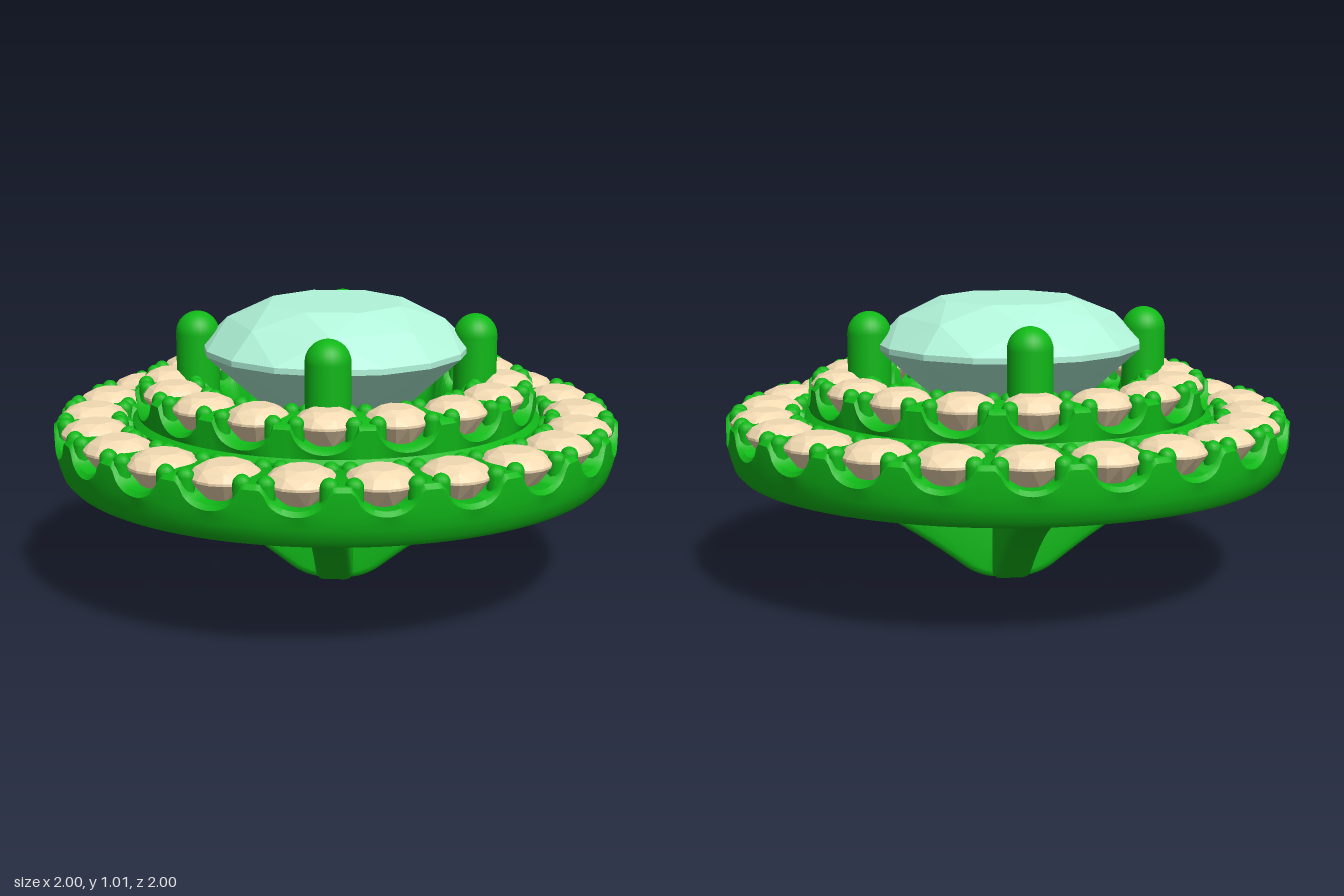
import * as THREE from 'three';
import { toCreasedNormals } from 'three/addons/utils/BufferGeometryUtils.js';
import { ConvexGeometry } from 'three/addons/geometries/ConvexGeometry.js';

const metal = new THREE.MeshStandardMaterial({ color: 0x10b818 });
const stoneMat = new THREE.MeshStandardMaterial({ color: 0xf2dab2 });
const gemMat = new THREE.MeshStandardMaterial({ color: 0xb2f5da });

function add(parent, name, geometry, material) {
  const mesh = new THREE.Mesh(geometry, material);
  mesh.name = name;
  parent.add(mesh);
  return mesh;
}

// Brilliant cut: the hull of table, crown, girdle, pavilion and culet points.
// Each level is [radius, height, sides, turn in steps].
function brilliant(levels) {
  const points = [];
  for (const [r, y, n, turn] of levels) {
    for (let i = 0; i < n; i++) {
      const a = ((i + turn) / n) * Math.PI * 2;
      points.push(new THREE.Vector3(r * Math.sin(a), y, r * Math.cos(a)));
    }
  }
  return new ConvexGeometry(points);
}

// Ring swept from a cross-section whose top edge dips at every stone.
function scallopedRing(section, count, centreR, top, depth, halfWidth) {
  const perStone = 20, n = count * perStone, pos = [], index = [];
  const m = section(top).length;
  for (let i = 0; i < n; i++) {
    const a = (i / n) * Math.PI * 2;
    let k = (i % perStone) / perStone;
    if (k > 0.5) k -= 1;
    const t = (k * Math.PI * 2 / count) * centreR / halfWidth;
    const dip = Math.abs(t) < 1 ? depth * Math.sqrt(1 - t * t) : 0;
    for (const [r, y] of section(top - dip)) pos.push(r * Math.sin(a), y, r * Math.cos(a));
    for (let j = 0; j < m; j++) {
      const i2 = (i + 1) % n, j2 = (j + 1) % m;
      index.push(i * m + j, i2 * m + j, i * m + j2, i2 * m + j, i2 * m + j2, i * m + j2);
    }
  }
  const g = new THREE.BufferGeometry();
  g.setAttribute('position', new THREE.Float32BufferAttribute(pos, 3));
  g.setIndex(index);
  return toCreasedNormals(g, 0.75);
}

// One halo: scalloped ring, its stones and the bead claws between them.
function halo(name, o) {
  const group = new THREE.Group();
  group.name = name;
  add(group, name + 'Ring', scallopedRing(o.section, o.count, o.centreR, o.top, 0.08, 0.088), metal);

  const R = o.stoneR, y = o.stoneTop;
  const stone = brilliant([
    [R * 0.5, y, 8, 0], [R * 0.82, y - 0.017, 8, 0.5], [R, y - 0.042, 16, 0],
    [R, y - 0.05, 16, 0], [R * 0.6, y - 0.115, 8, 0.5], [0, y - 0.16, 1, 0],
  ]);
  const claw = new THREE.CapsuleGeometry(o.clawR, 0.09, 5, 10);
  for (let i = 0; i < o.count; i++) {
    const a = (i / o.count) * Math.PI * 2;
    const s = add(group, 'haloStone', stone, stoneMat);
    s.position.set(o.centreR * Math.sin(a), 0, o.centreR * Math.cos(a));
    s.rotation.y = a;
    const gap = a + Math.PI / o.count;
    for (const [r, spread] of o.claws) {
      for (const side of [-1, 1]) {
        const b = gap + side * spread / r;
        add(group, 'beadClaw', claw, metal)
          .position.set(r * Math.sin(b), o.clawTop - 0.045 - o.clawR, r * Math.cos(b));
      }
    }
  }
  return group;
}

// Curved strut running from the bottom point out to the underside.
function strutGeometry() {
  const s = new THREE.Shape();
  s.moveTo(-0.04, 0);
  s.lineTo(0.06, 0);
  s.quadraticCurveTo(0.11, 0.005, 0.16, 0.04);
  s.bezierCurveTo(0.38, 0.21, 0.58, 0.34, 0.94, 0.41);
  s.lineTo(0.72, 0.44);
  s.lineTo(0.56, 0.44);
  s.quadraticCurveTo(0.3, 0.36, 0.05, 0.235);
  s.lineTo(-0.04, 0.235);
  const bevel = 0.025;
  const g = new THREE.ExtrudeGeometry(s, {
    depth: 0.13 - 2 * bevel, curveSegments: 14, bevelEnabled: true,
    bevelSize: bevel, bevelOffset: -bevel, bevelThickness: bevel, bevelSegments: 3,
  });
  g.translate(0, 0, -0.065 + bevel);
  return toCreasedNormals(g, 0.7);
}

export function createModel() {
  const model = new THREE.Group();
  model.name = 'haloSetting';

  model.add(halo('outerHalo', {
    count: 22, centreR: 0.865, top: 0.61, stoneR: 0.12, stoneTop: 0.64,
    clawR: 0.03, clawTop: 0.632, claws: [[0.958, 0.038], [0.77, 0.03]],
    section: h => [
      [0.715, 0.4], [0.925, 0.4], [0.955, 0.408], [0.975, 0.43], [0.988, 0.47],
      [0.998, 0.51], [1, h - 0.015], [0.985, h], [0.735, h], [0.715, h - 0.015],
    ],
  }));

  model.add(halo('innerHalo', {
    count: 16, centreR: 0.59, top: 0.73, stoneR: 0.11, stoneTop: 0.76,
    clawR: 0.028, clawTop: 0.752, claws: [[0.672, 0.038], [0.497, 0.026]],
    section: h => [
      [0.43, 0.58], [0.725, 0.56], [0.725, 0.6], [0.705, 0.62],
      [0.712, h - 0.015], [0.695, h], [0.465, h], [0.45, h - 0.015],
    ],
  }));

  // Large centre gem
  add(model, 'centreGem', brilliant([
    [0.25, 1.01, 8, 0.5], [0.385, 0.951, 8, 0], [0.475, 0.86, 16, 0],
    [0.475, 0.84, 16, 0], [0.3, 0.68, 8, 0.5], [0, 0.45, 1, 0],
  ]), gemMat);

  // Four diagonal struts, each with a prong and a post above it
  const strut = strutGeometry();
  const prong = new THREE.CapsuleGeometry(0.077, 0.29, 10, 24);
  const post = new THREE.CylinderGeometry(0.065, 0.065, 0.2, 20);
  for (let i = 0; i < 4; i++) {
    const arm = new THREE.Group();
    arm.name = 'arm';
    arm.rotation.y = Math.PI / 4 + i * Math.PI / 2;
    add(arm, 'strut', strut, metal);
    add(arm, 'prong', prong, metal).position.set(0.493, 0.748, 0);
    add(arm, 'post', post, metal).position.set(0.58, 0.5, 0);
    model.add(arm);
  }
  return model;
}
